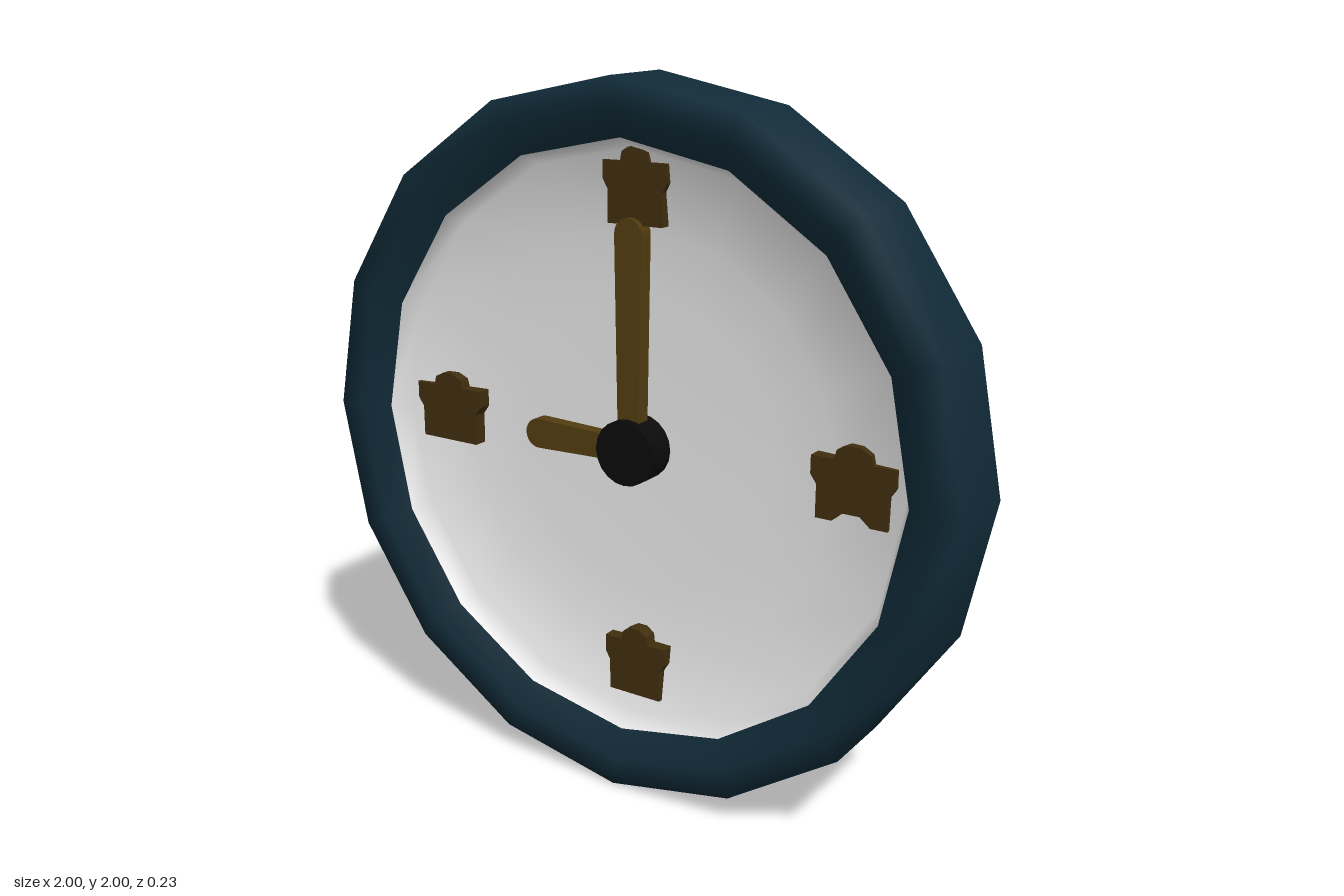
import * as THREE from 'three';

const SIDES = 16;

function material(name, color, side = THREE.FrontSide) {
  const m = new THREE.MeshStandardMaterial({ color, side });
  m.name = name;
  return m;
}

// Turned part whose axis points to the front; points are [radius, z]
function turned(points) {
  const profile = points.map(([r, z]) => new THREE.Vector2(r, z));
  return new THREE.LatheGeometry(profile, SIDES).rotateX(Math.PI / 2);
}

// Flat slab cut from a shape, between two depths
function slab(shape, z0, z1) {
  return new THREE.ExtrudeGeometry(shape, { depth: z1 - z0, bevelEnabled: false, curveSegments: 6 })
    .translate(0, 0, z0);
}

// Hand along +y with a round tip, slightly wider at the tip
function handShape(length, rootHalf, tipHalf) {
  const s = new THREE.Shape();
  s.moveTo(-rootHalf, 0);
  s.lineTo(rootHalf, 0);
  s.lineTo(tipHalf, length - tipHalf);
  s.absarc(0, length - tipHalf, tipHalf, 0, Math.PI, false);
  s.closePath();
  return s;
}

// Hour marker: block with two side lobes and a top lobe
function markerShape(w, notched) {
  const half = [[0.085, -0.1], [0.085, -0.01], [0.1, 0.015], [0.1, 0.065], [0.045, 0.065], [0.04, 0.09], [0.015, 0.105]];
  if (notched) half.unshift([0.02, -0.075], [0.045, -0.1]);
  const right = half.map(([x, y]) => new THREE.Vector2(x * w, y));
  const left = half.map(([x, y]) => new THREE.Vector2(-x * w, y)).reverse();
  return new THREE.Shape([...right, ...left]);
}

export function createModel() {
  const group = new THREE.Group();
  const navy = material('navy case', 0x102a37);
  const white = material('white face', 0xe8e8e8);
  const gold = material('gold hands', 0x523c10);
  const bronze = material('bronze markers', 0x402e0e);
  const black = material('black hub', 0x0a0a0a);

  const add = (name, geometry, mat, x = 0, y = 1) => {
    const mesh = new THREE.Mesh(geometry, mat);
    mesh.name = name;
    mesh.position.set(x, y, 0);
    group.add(mesh);
    return mesh;
  };

  // Case: rim and flat back
  add('rim', turned([[1, -0.118], [0.996, 0.115], [0.92, 0.115], [0.84, 0.07]]), navy);
  add('back', turned([[0, -0.118], [1, -0.118]]), navy);

  // Shallow dished face
  add('face', turned([[0.84, 0.07], [0.81, 0.01], [0.6, -0.02], [0.42, -0.038], [0, -0.04]]), white);

  // Hour markers
  const markers = [
    ['topMarker', 0.01, 1.71, 1, false],
    ['bottomMarker', 0.01, 0.35, 1, false],
    ['leftMarker', 0.665, 1.01, 1.18, true],
    ['rightMarker', -0.655, 1.01, 1.18, false],
  ];
  for (const [name, x, y, w, notched] of markers) {
    add(name, slab(markerShape(w, notched), -0.04, 0.018), bronze, x, y);
  }

  // Hands and hub
  add('minuteHand', slab(handShape(0.64, 0.033, 0.043), -0.01, 0.035), gold, 0, 0.99);
  const hour = add('hourHand', slab(handShape(0.355, 0.033, 0.043), -0.01, 0.03), gold, 0, 0.99);
  hour.rotation.z = Math.PI / 2;
  add('hub', new THREE.CylinderGeometry(0.093, 0.093, 0.09, 20).rotateX(Math.PI / 2).translate(0, 0, 0.01), black, 0, 0.99);

  return group;
}
